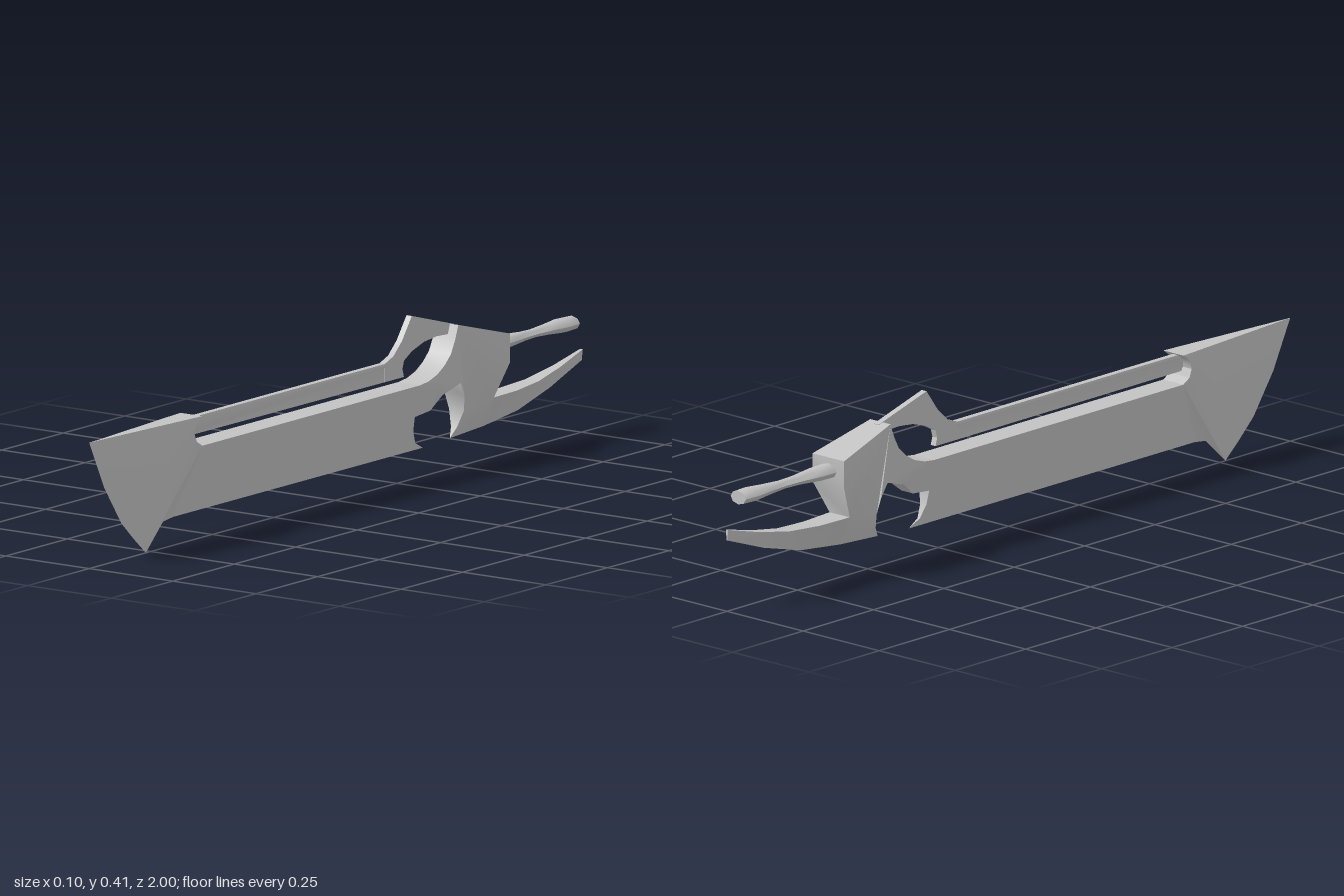
import * as THREE from 'three';
import { toCreasedNormals } from 'three/addons/utils/BufferGeometryUtils.js';

// Geometry from a flat list of triangle corners, dropping collapsed triangles
function fromCorners(corners) {
  const pos = [];
  const tri = new THREE.Triangle();
  for (let i = 0; i < corners.length; i += 3) {
    tri.set(corners[i], corners[i + 1], corners[i + 2]);
    if (tri.getArea() > 1e-8) pos.push(...tri.a, ...tri.b, ...tri.c);
  }
  const geo = new THREE.BufferGeometry();
  geo.setAttribute('position', new THREE.Float32BufferAttribute(pos, 3));
  return toCreasedNormals(geo, 0.5);
}

// Solid mirrored about x = 0 from a side outline of [z, y, halfWidth] points
function slab(outline) {
  let pts = outline;
  const flat = (list) => list.map(([z, y]) => new THREE.Vector2(z, y));
  if (THREE.ShapeUtils.isClockWise(flat(pts))) pts = [...pts].reverse();
  const at = (i, side) => new THREE.Vector3(side * pts[i][2], pts[i][1], pts[i][0]);
  const corners = [];
  for (const [a, b, c] of THREE.ShapeUtils.triangulateShape(flat(pts), [])) {
    corners.push(at(a, -1), at(b, -1), at(c, -1), at(c, 1), at(b, 1), at(a, 1));
  }
  pts.forEach((_, i) => {
    const j = (i + 1) % pts.length;
    corners.push(at(j, -1), at(i, -1), at(i, 1), at(j, -1), at(i, 1), at(j, 1));
  });
  return fromCorners(corners);
}

export function createModel() {
  const group = new THREE.Group();
  const steel = new THREE.MeshStandardMaterial({ color: 0xc2c2c2 });
  steel.name = 'grey steel';
  const add = (name, geo) => {
    const mesh = new THREE.Mesh(geo, steel);
    mesh.name = name;
    group.add(mesh);
    return mesh;
  };

  // Flared wedge at the front, with a rounded hollow behind it
  add('bladeHead', slab([
    [1, 0.31, 0], [0.585, 0.31, 0.033], [0.603, 0.297, 0.033], [0.612, 0.285, 0.032],
    [0.615, 0.27, 0.032], [0.607, 0.25, 0.033], [0.585, 0.237, 0.033],
    [0.77, 0, 0], [0.82, 0.043, 0], [0.87, 0.09, 0], [0.94, 0.19, 0],
  ]));

  // Hollow-curved barb running from the head's ridge back to the cutting edge
  add('headBarb', slab([
    [0.585, 0.237, 0.033], [0.66, 0.07, 0], [0.7, 0.065, 0], [0.74, 0.04, 0], [0.77, 0, 0],
  ]));

  // Long blade, wide above and sharp below
  add('blade', slab([
    [0.585, 0.237, 0.033], [-0.3, 0.237, 0.033], [-0.3, 0.157, 0.017], [-0.303, 0.12, 0.01],
    [-0.32, 0.088, 0.0035], [-0.355, 0.07, 0], [0.66, 0.07, 0],
  ]));

  // Neck between the blade and the guard, arching over the notch
  add('neck', slab([
    [-0.3, 0.237, 0.033], [-0.335, 0.241, 0.033], [-0.37, 0.252, 0.033], [-0.4, 0.27, 0.033],
    [-0.425, 0.293, 0.033], [-0.442, 0.325, 0.033], [-0.455, 0.36, 0.033], [-0.465, 0.215, 0.033],
    [-0.4, 0.195, 0.026], [-0.36, 0.163, 0.019], [-0.3, 0.157, 0.017],
  ]));

  // Guard block, widening to the rear, with a sharp hooked lower edge
  add('guard', slab([
    [-0.455, 0.36, 0.033], [-0.64, 0.31, 0.052], [-0.64, 0.24, 0.052], [-0.6, 0.157, 0.033],
    [-0.6, 0.083, 0.002], [-0.465, 0.075, 0], [-0.482, 0.1, 0.009], [-0.492, 0.14, 0.022],
    [-0.485, 0.18, 0.03], [-0.465, 0.215, 0.033],
  ]));

  // Curved spike sweeping back under the grip
  add('rearSpike', slab([
    [-0.6, 0.157, 0.033], [-0.7, 0.156, 0.027], [-0.8, 0.162, 0.02], [-0.9, 0.18, 0.012],
    [-1, 0.205, 0.004], [-1, 0.178, 0.001], [-0.87, 0.132, 0.001], [-0.74, 0.098, 0.001],
    [-0.6, 0.083, 0.002],
  ]));

  // Slim rail above the blade, undercut deeply at the front and fading to the rear
  const section = (z, crease, inner) => {
    const half = [[0.008, 0.305], [0.009, 0.298], [inner, crease], [inner, 0.26]];
    return [...half.map(([x, y]) => [-x, y]), ...half.reverse()]
      .map(([x, y]) => new THREE.Vector3(x, y, z));
  };
  const front = section(0.63, 0.264, 0.002), back = section(-0.2, 0.296, 0.008);
  const rail = [];
  front.forEach((p, i) => {
    const j = (i + 1) % front.length;
    rail.push(p, back[i], back[j], p, back[j], front[j]);
  });
  add('upperRail', fromCorners(rail));

  // Raised hook joining the rail to the guard
  add('railHook', slab([
    [-0.19, 0.305, 0.008], [-0.225, 0.318, 0.008], [-0.26, 0.35, 0.008], [-0.3, 0.405, 0.008],
    [-0.47, 0.357, 0.008], [-0.46, 0.335, 0.008], [-0.4, 0.338, 0.008], [-0.35, 0.333, 0.008],
    [-0.3, 0.318, 0.008], [-0.268, 0.3, 0.008], [-0.262, 0.28, 0.008], [-0.268, 0.26, 0.008],
    [-0.19, 0.26, 0.008],
  ]));

  // Waisted grip, flattened vertically
  const profile = [[0, 0], [0.027, 0], [0.026, 0.05], [0.018, 0.12], [0.016, 0.17], [0.021, 0.23],
    [0.027, 0.28], [0.025, 0.325], [0, 0.325]].map(([r, h]) => new THREE.Vector2(r, h));
  const gripGeo = new THREE.LatheGeometry(profile, 8);
  gripGeo.rotateX(-Math.PI / 2);
  gripGeo.scale(1, 0.68, 1);
  add('grip', toCreasedNormals(gripGeo, 0.9)).position.set(0, 0.277, -0.635);

  return group;
}
